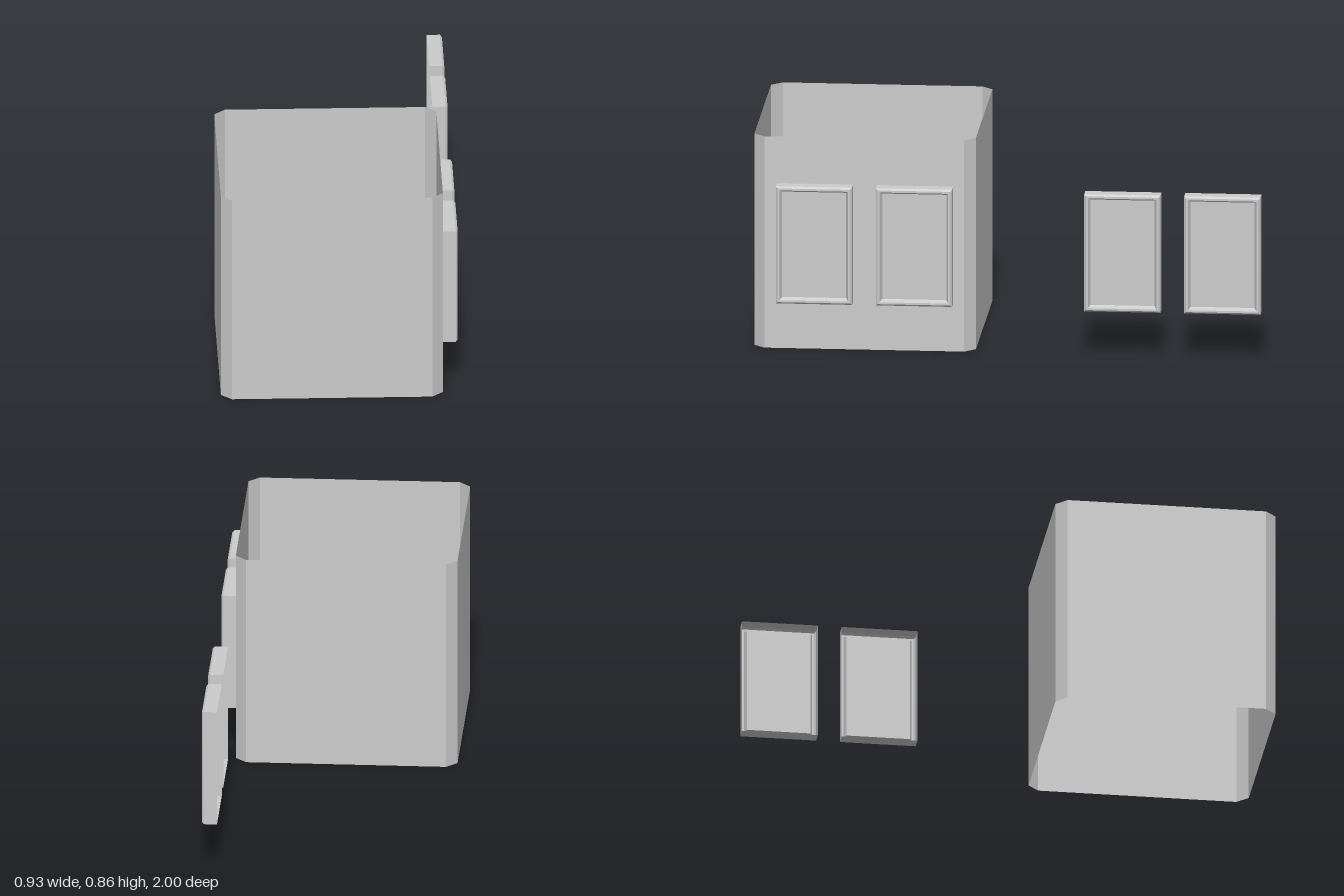
import * as THREE from 'three';

const material = new THREE.MeshStandardMaterial({
  color: 0xcccccc, flatShading: true, side: THREE.DoubleSide,
});

// Joins closed rings of points with flat quads; optionally caps the last (four-cornered) ring.
function loft(rings, cap = false) {
  const points = [];
  const quad = (a, b, c, d) => points.push(...a, ...b, ...c, ...a, ...c, ...d);
  for (let r = 0; r + 1 < rings.length; r++) {
    const lower = rings[r], upper = rings[r + 1], n = lower.length;
    for (let i = 0; i < n; i++) {
      const j = (i + 1) % n;
      quad(lower[i], lower[j], upper[j], upper[i]);
    }
  }
  if (cap) quad(...rings[rings.length - 1]);
  const geometry = new THREE.BufferGeometry();
  geometry.setAttribute('position', new THREE.Float32BufferAttribute(points, 3));
  geometry.computeVertexNormals();
  return geometry;
}

function addMesh(parent, name, geometry) {
  const mesh = new THREE.Mesh(geometry, material);
  mesh.name = name;
  parent.add(mesh);
  return mesh;
}

// Square of half width h with cut corners, at height y
function cutSquare(h, cut, y) {
  const k = h - cut;
  return [[-k, h], [k, h], [h, k], [h, -k], [k, -h], [-k, -h], [-h, -k], [-h, k]]
    .map(([x, z]) => [x, y, z]);
}

// Rectangle facing +x, shrunk by inset
function rectangle(width, height, inset, x) {
  const w = width / 2 - inset, h = height / 2 - inset;
  return [[x, -h, w], [x, -h, -w], [x, h, -w], [x, h, w]];
}

export function createModel() {
  const model = new THREE.Group();
  model.name = 'roomWithWindows';

  // Thin walls, open above and below
  const walls = addMesh(model, 'walls', loft([
    cutSquare(0.436, 0.043, 0), cutSquare(0.436, 0.043, 0.855),
  ]));
  walls.position.set(-0.031, 0, 0.564);

  // Window: moulded frame, open at the back, with a recessed pane
  const width = 0.3, height = 0.474;
  const profile = [[0, 0], [0, 0.052], [0.007, 0.06], [0.015, 0.06], [0.019, 0.05], [0.024, 0.04]];
  const rings = profile.map(([inset, x]) => rectangle(width, height, inset, x));
  const frameGeometry = loft(rings);
  const paneGeometry = loft([rings[rings.length - 1]], true);

  // One pair on the wall, one pair standing free behind it
  for (const [name, z, y] of [
    ['frontWindow', 0.758, 0.43], ['secondWindow', 0.364, 0.43],
    ['thirdWindow', -0.456, 0.423], ['backWindow', -0.85, 0.423],
  ]) {
    const window = new THREE.Group();
    window.name = name;
    window.position.set(0.405, y, z);
    addMesh(window, 'frame', frameGeometry);
    addMesh(window, 'pane', paneGeometry);
    model.add(window);
  }
  return model;
}
